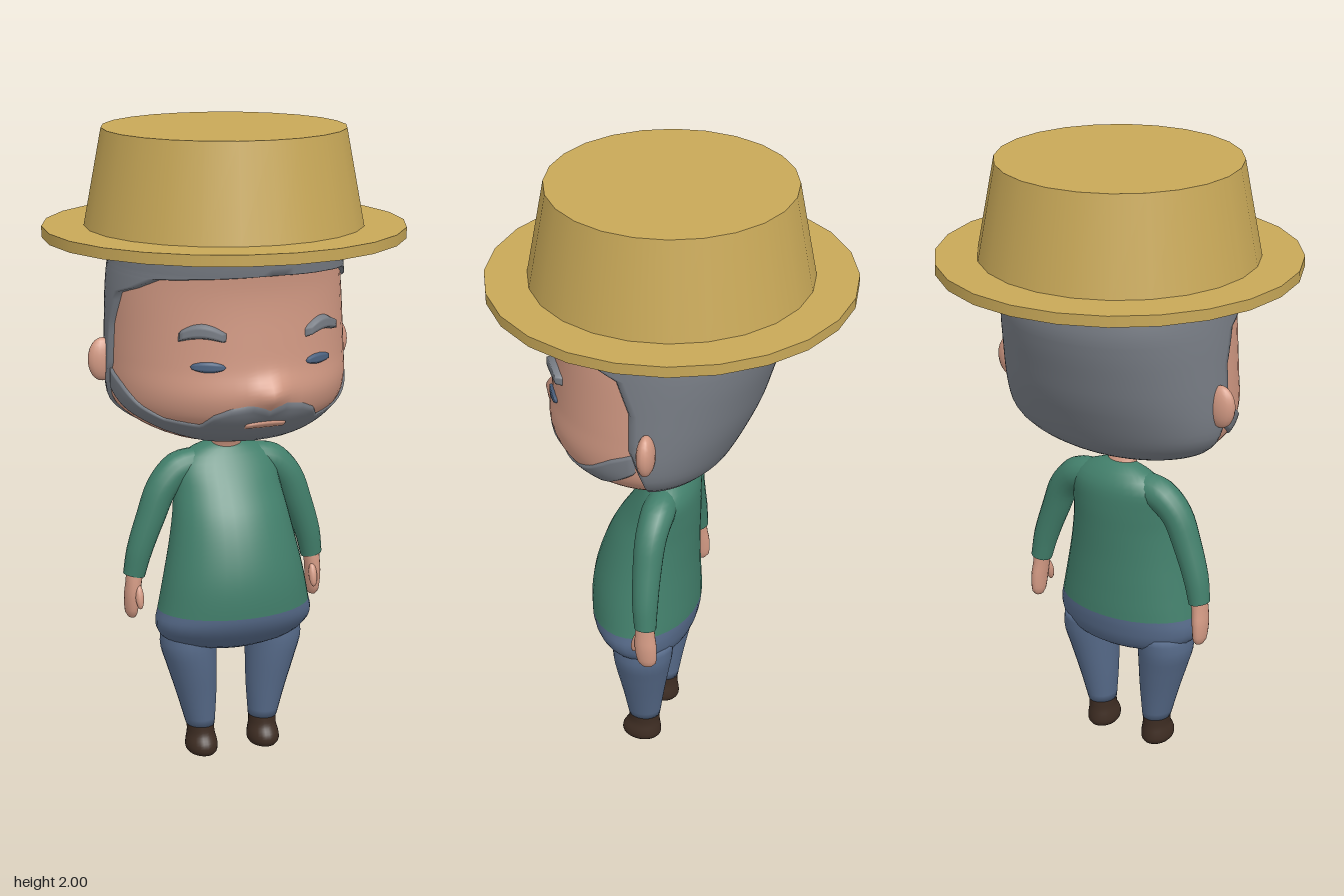
import * as THREE from 'three';
import { mergeVertices } from 'three/addons/utils/BufferGeometryUtils.js';

const mat = (name, color, side = THREE.FrontSide) => {
  const m = new THREE.MeshStandardMaterial({ color, side });
  m.name = name;
  return m;
};
const rad = Math.PI / 180;

// Smooth curve through rows [key, ...values], returning the values at a key
function sample(rows, k) {
  const n = rows.length - 1;
  let i = 0;
  while (i < n - 1 && k > rows[i + 1][0]) i++;
  const slope = (j, c) => {
    const a = rows[Math.max(j - 1, 0)], b = rows[Math.min(j + 1, n)];
    return (b[c] - a[c]) / (b[0] - a[0]);
  };
  const p = rows[i], q = rows[i + 1], h = q[0] - p[0];
  const t = Math.min(Math.max((k - p[0]) / h, 0), 1), s = t * t * (3 - 2 * t);
  return p.map((_, c) => c === 0 ? k : p[c] * (1 - s) + q[c] * s
    + h * t * (1 - t) * ((1 - t) * slope(i, c) - t * slope(i + 1, c)));
}
// Straight interpolation between [key, value] pairs
function linear(pairs, k) {
  let i = 0;
  while (i < pairs.length - 2 && k > pairs[i + 1][0]) i++;
  const [a, b] = [pairs[i], pairs[i + 1]];
  return THREE.MathUtils.lerp(a[1], b[1], THREE.MathUtils.clamp((k - a[0]) / (b[0] - a[0]), 0, 1));
}
// Smooth sheet from a point function over a grid
function sheet(nu, nv, fn) {
  const pos = [], idx = [];
  for (let j = 0; j <= nv; j++) for (let i = 0; i <= nu; i++) pos.push(...fn(i, j));
  for (let j = 0; j < nv; j++) for (let i = 0; i < nu; i++) {
    const a = j * (nu + 1) + i, b = a + 1, d = a + nu + 1, c = d + 1;
    idx.push(a, b, c, a, c, d);
  }
  let g = new THREE.BufferGeometry();
  g.setAttribute('position', new THREE.Float32BufferAttribute(pos, 3));
  g.setIndex(idx);
  g = mergeVertices(g, 1e-5);
  g.computeVertexNormals();
  return g;
}
// Point on a body of rows [y, halfWidth, zFront, zBack, zCentre, xCentre]; angle 0 is the front
function ringPoint(rows, angle, y, off = 0, scale = 1) {
  const [, w, zf, zb, zc, xc = 0] = sample(rows, y);
  const c = Math.cos(angle) * scale;
  return [xc + (w + off) * Math.sin(angle) * scale, y, zc + c * ((c > 0 ? zf - zc : zc - zb) + off)];
}
function loft(rows, y0, y1, nv = 16, capLow = true, capHigh = true, nu = 32, point = ringPoint) {
  const lo = capLow ? 1 : 0, total = nv + lo + (capHigh ? 1 : 0);
  return sheet(nu, total, (i, j) => {
    const k = j - lo, closed = k < 0 || k > nv;
    const y = THREE.MathUtils.lerp(y0, y1, THREE.MathUtils.clamp(k / nv, 0, 1));
    return point(rows, (i % nu) / nu * 2 * Math.PI, y, 0, closed ? 0 : 1);
  });
}
// Tapered limb along points [x, y, z, radius] in a near-upright plane
function limb(points, side) {
  const curve = new THREE.CatmullRomCurve3(points.map(p => new THREE.Vector3(p[0] * side, p[1], p[2])));
  const radii = points.map((p, i) => [i / (points.length - 1), p[3]]);
  const nu = 16, nv = 20;
  return sheet(nu, nv, (i, j) => {
    const t = j / nv, p = curve.getPoint(t), d = curve.getTangent(t), r = linear(radii, t);
    const a = (i % nu) / nu * 2 * Math.PI, s = Math.sin(a) * r;
    return [p.x + d.y * s, p.y - d.x * s, p.z + Math.cos(a) * r];
  });
}

const HEAD = [
  [1.05, 0.09, 0.15, 0.01, 0.08], [1.07, 0.19, 0.23, -0.07, 0.06], [1.10, 0.27, 0.29, -0.135, 0.03],
  [1.14, 0.33, 0.33, -0.185, 0.01], [1.18, 0.362, 0.36, -0.21, 0], [1.24, 0.373, 0.378, -0.24, 0],
  [1.32, 0.372, 0.368, -0.275, 0], [1.40, 0.368, 0.364, -0.3, 0], [1.50, 0.362, 0.362, -0.328, 0],
  [1.57, 0.355, 0.366, -0.337, 0], [1.69, 0.338, 0.385, -0.32, 0]];
// Head surface with a soft nose
function headPoint(rows, angle, y, off = 0, scale = 1) {
  const p = ringPoint(rows, angle, y, off, scale);
  if (Math.cos(angle) > 0) p[2] += scale * 0.034 * Math.exp(-((p[0] / 0.045) ** 2) - ((y - 1.245) / 0.045) ** 2);
  return p;
}
// Raised patch on the head between two angles (degrees), with low and high edges
function patch(a0, a1, low, high, off, nu = 24, nv = 6) {
  return sheet(nu, nv, (i, j) => {
    const u = i / nu, a = a0 + (a1 - a0) * u;
    const y = THREE.MathUtils.lerp(low(u, a), high(u, a), j / nv);
    const rim = i === 0 || i === nu || j === 0 || j === nv;
    return headPoint(HEAD, a * rad, y, rim ? -0.002 : off);
  });
}

export function createModel() {
  const skin = mat('skin', 0xd39a84), hair = mat('greyHair', 0x777c84, THREE.DoubleSide);
  const straw = mat('straw', 0xc8a858), green = mat('greenShirt', 0x427f6b, THREE.DoubleSide);
  const denim = mat('denim', 0x566a89, THREE.DoubleSide), leather = mat('darkLeather', 0x3e2d23);
  const eyeBlue = mat('eyeBlue', 0x4c617e);
  const group = new THREE.Group();
  const add = (name, geometry, material) => {
    const m = new THREE.Mesh(geometry, material);
    m.name = name;
    group.add(m);
    return m;
  };

  // Hat
  add('hatBrim', new THREE.CylinderGeometry(0.56, 0.56, 0.034, 24), straw).position.y = 1.687;
  add('hatCrown', new THREE.CylinderGeometry(0.375, 0.432, 0.3, 24), straw).position.y = 1.85;

  // Head and neck
  add('head', loft(HEAD, 1.05, 1.68, 48, true, true, 64, headPoint), skin);
  add('neck', loft([[0.97, 0.055, 0.04, -0.05, 0], [1.03, 0.05, 0.06, -0.01, 0.025],
    [1.1, 0.07, 0.12, 0, 0.06]], 0.97, 1.1, 8), skin);

  // Hair wraps the back from hairline to hairline and closes over the brow
  const hairline = [[1.09, 102], [1.13, 98], [1.22, 90], [1.3, 85], [1.42, 85], [1.525, 78],
    [1.55, 65], [1.585, 52], [1.597, 28], [1.605, 0], [1.69, 0]];
  const sub = 4, hairRows = (hairline.length - 1) * sub;
  add('hair', sheet(64, hairRows + 1, (i, j) => {
    const k = Math.max(j - 1, 0), s = Math.min(Math.floor(k / sub), hairline.length - 2);
    const y = THREE.MathUtils.lerp(hairline[s][0], hairline[s + 1][0], k / sub - s);
    const a = linear(hairline, y), rim = j === 0 || ((i === 0 || i === 64) && a > 0.01);
    return headPoint(HEAD, (a + (360 - 2 * a) * i / 64) * rad, y, rim ? -0.01 : 0.012);
  }), hair);

  // Beard, moustache and mouth
  const beardLow = [[0, 1.062], [40, 1.07], [60, 1.105], [75, 1.15], [90, 1.22]];
  const beardHigh = [[0, 1.2], [8, 1.222], [18, 1.21], [26, 1.188], [33, 1.152], [52, 1.165],
    [65, 1.2], [78, 1.255], [90, 1.29]];
  add('beard', patch(-90, 90, (u, a) => linear(beardLow, Math.abs(a)),
    (u, a) => linear(beardHigh, Math.abs(a)), 0.007, 90, 12), hair);
  add('mouth', patch(-12, 12, () => 1.132, (u) => 1.15 + 0.016 * Math.sqrt(Math.sin(Math.PI * u) + 1e-9),
    0.014, 12, 4), skin);

  // Shirt body and hips
  const BODY = [
    [0.365, 0.12, 0.14, -0.02, 0.06], [0.385, 0.2, 0.18, -0.055, 0.06], [0.42, 0.245, 0.215, -0.075, 0.07],
    [0.46, 0.258, 0.243, -0.085, 0.08], [0.5, 0.25, 0.255, -0.09, 0.08], [0.6, 0.23, 0.253, -0.088, 0.08],
    [0.7, 0.208, 0.23, -0.086, 0.07], [0.8, 0.188, 0.19, -0.088, 0.05], [0.88, 0.175, 0.14, -0.09, 0.02],
    [0.95, 0.165, 0.09, -0.085, 0], [0.99, 0.125, 0.06, -0.065, 0], [1.018, 0.055, 0.035, -0.035, 0]];
  add('shirt', loft(BODY, 0.5, 1.018, 26, false, true), green);
  add('hips', loft(BODY, 0.365, 0.5, 12, true, false), denim);

  for (const side of [1, -1]) {
    const label = side > 0 ? 'left' : 'right';
    const span = (a, b) => side > 0 ? [a, b] : [-b, -a];
    // Face details
    const arch = u => Math.sin(Math.PI * u);
    add(label + 'Eyebrow', patch(...span(20, 43), u => 1.405 + 0.012 * arch(u),
      u => 1.435 + 0.028 * arch(u), 0.018, 12), hair);
    add(label + 'Eye', patch(...span(20, 37), u => 1.333 - 0.017 * Math.sqrt(arch(u) + 1e-9),
      u => 1.333 + 0.017 * Math.sqrt(arch(u) + 1e-9), 0.008, 12), eyeBlue);
    const ear = add(label + 'Ear', new THREE.SphereGeometry(1, 16, 12), skin);
    ear.scale.set(0.047, 0.068, 0.028);
    ear.position.set(side * 0.388, 1.3, -0.035);

    // Arm and hand
    add(label + 'Sleeve', limb([[0.305, 0.6, -0.003, 0.035], [0.288, 0.68, 0.002, 0.041],
      [0.25, 0.79, 0.006, 0.046], [0.212, 0.88, 0.005, 0.05], [0.155, 0.935, 0, 0.054],
      [0.08, 0.95, 0, 0.05]], side), green);
    const x = v => side * v;
    add(label + 'Hand', loft([[0.46, 0.012, 0.008, -0.028, -0.01, x(0.312)],
      [0.475, 0.019, 0.02, -0.04, -0.01, x(0.313)], [0.53, 0.024, 0.03, -0.042, -0.005, x(0.312)],
      [0.57, 0.025, 0.03, -0.036, 0, x(0.308)], [0.62, 0.027, 0.026, -0.03, 0, x(0.302)]],
      0.46, 0.62, 12, true, true, 16), skin);
    const thumb = add(label + 'Thumb', new THREE.SphereGeometry(1, 10, 8), skin);
    thumb.scale.set(0.014, 0.04, 0.014);
    thumb.position.set(x(0.298), 0.535, 0.03);
    thumb.rotation.x = -0.25;

    // Leg and shoe
    add(label + 'Leg', loft([[0.095, 0.046, 0.116, 0.01, 0.063, x(0.108)],
      [0.2, 0.064, 0.131, -0.008, 0.06, x(0.12)], [0.3, 0.08, 0.147, -0.028, 0.058, x(0.135)],
      [0.37, 0.09, 0.154, -0.042, 0.056, x(0.145)], [0.43, 0.09, 0.15, -0.045, 0.055, x(0.14)]],
      0.095, 0.43, 14, true, true, 24), denim);
    add(label + 'Shoe', loft([[0, 0.042, 0.128, 0.016, 0.07, x(0.106)],
      [0.012, 0.05, 0.137, 0.008, 0.07, x(0.107)], [0.035, 0.05, 0.136, 0.008, 0.07, x(0.107)],
      [0.065, 0.044, 0.118, 0.012, 0.065, x(0.107)], [0.1, 0.044, 0.114, 0.012, 0.063, x(0.108)]],
      0, 0.1, 12, true, true, 24), leather);
  }
  return group;
}
